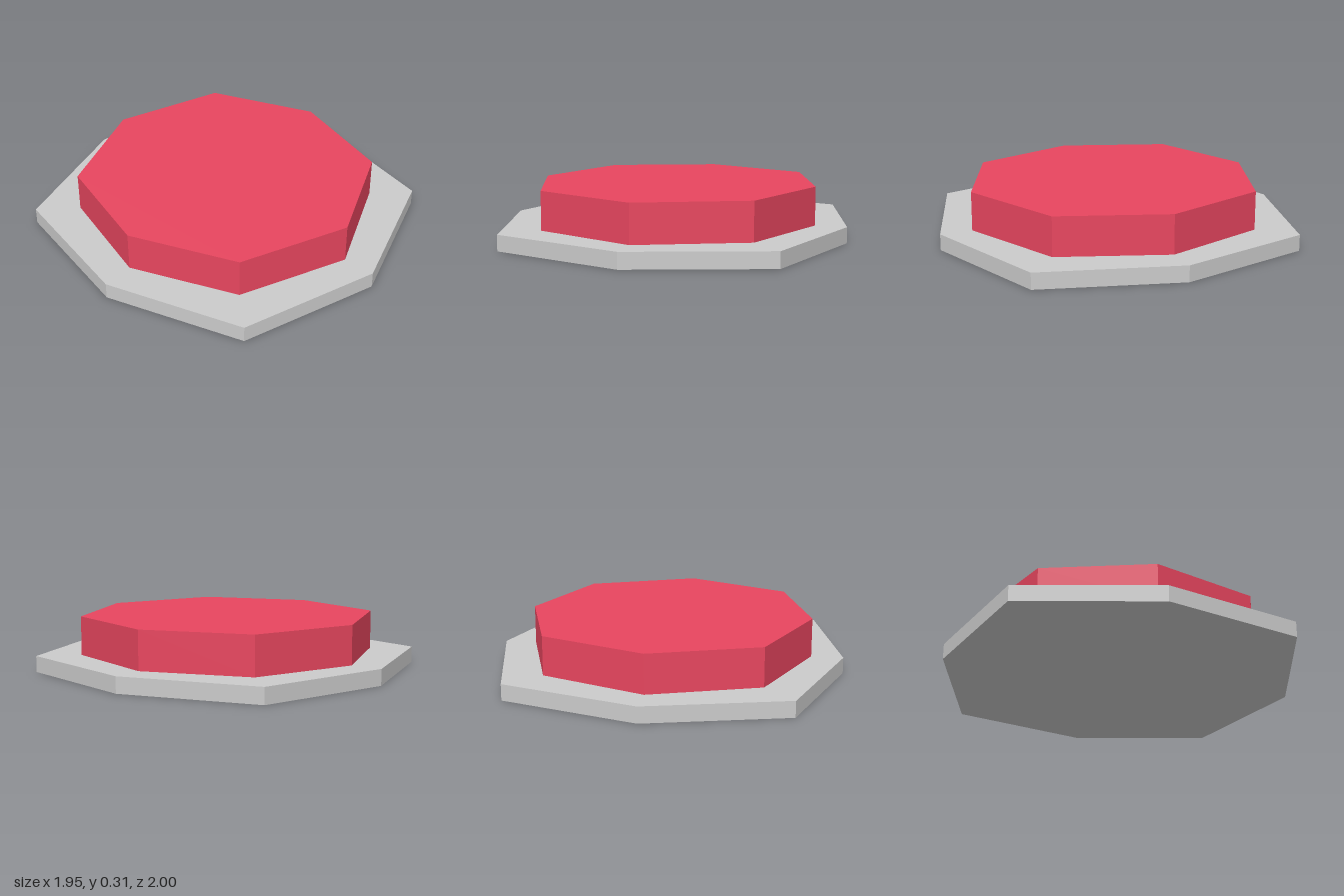
import * as THREE from 'three';

// Upright prism from the left half of an outline, mirrored across x = 0.
// Points are [x, z], running from the back tip to the front tip.
function prism(name, half, bottom, top, color) {
  const mirrored = half.slice(1, -1).reverse().map(([x, z]) => [-x, z]);
  const outline = [...half, ...mirrored].map(([x, z]) => new THREE.Vector2(x, -z));
  const geometry = new THREE.ExtrudeGeometry(new THREE.Shape(outline), {
    depth: top - bottom,
    bevelEnabled: false,
  });
  geometry.rotateX(-Math.PI / 2).translate(0, bottom, 0);
  const mesh = new THREE.Mesh(geometry, new THREE.MeshStandardMaterial({ color, flatShading: true }));
  mesh.name = name;
  return mesh;
}

export function createModel() {
  const model = new THREE.Group();
  model.name = 'octagonalButton';

  // Wide, thin eight-sided base plate
  const baseHalf = [[0, -1], [0.765, -0.783], [0.973, -0.017], [0.765, 0.75], [0, 1]];
  model.add(prism('basePlate', baseHalf, 0, 0.09, 0xcccccc));

  // Raised red cap on top of the plate
  const capHalf = [[0, -0.822], [0.588, -0.604], [0.795, -0.017], [0.588, 0.572], [0, 0.82]];
  model.add(prism('buttonCap', capHalf, 0.09, 0.307, 0xe8465f));

  return model;
}
